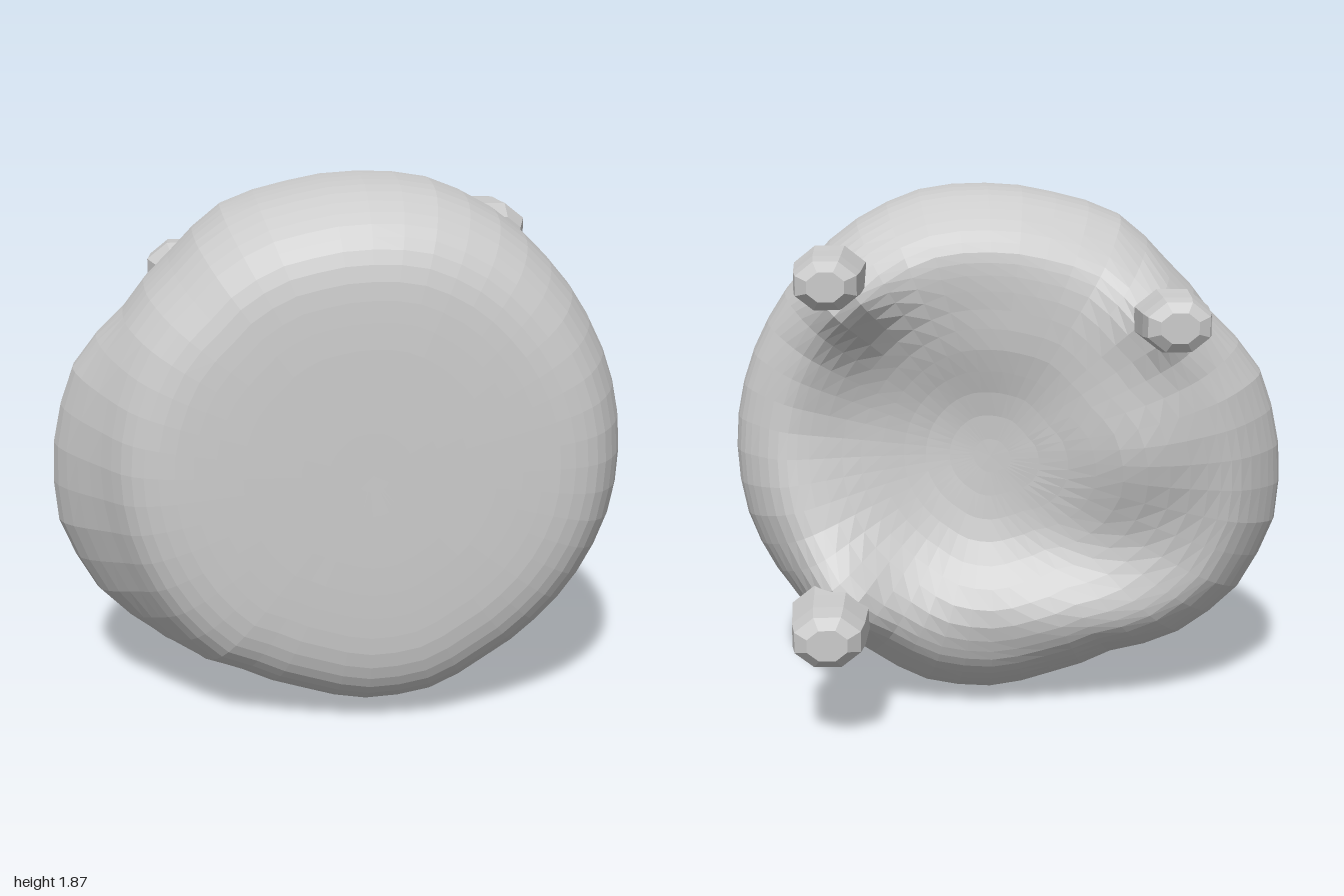
import * as THREE from 'three';
import { mergeVertices } from 'three/addons/utils/BufferGeometryUtils.js';

const CENTRE = { x: 0.08, y: 0.93 };

// outline radius every 15 degrees, starting at +x and turning towards +y
const RADII = [0.92, 0.92, 0.92, 0.925, 0.94, 0.95, 0.94, 0.94, 0.96, 0.935, 0.95, 1.04,
  1.08, 1.11, 1.09, 1.02, 0.92, 0.91, 0.93, 0.93, 0.9, 0.9, 0.91, 0.92];

// [radius fraction, z] from the hollow back round to the flat front
const PROFILE = [[0, -0.18], [0.25, -0.18], [0.5, -0.2], [0.7, -0.25], [0.82, -0.24], [0.93, -0.13],
  [0.99, 0], [1, 0.2], [0.97, 0.4], [0.88, 0.56], [0.75, 0.63], [0.55, 0.65], [0.25, 0.655], [0, 0.655]];

// swellings (or, if negative, hollows) of the back: x, y, width, height, depth
const SWELLINGS = [
  [-0.44, 1.0, 0.27, 0.36, 0.18],
  [0, 1.36, 0.4, 0.2, 0.06],
  [0, 0.4, 0.5, 0.16, 0.1],
  [0.3, 1.0, 0.22, 0.34, -0.05],
  [0.75, 1.06, 0.24, 0.28, -0.07],
  [0.59, 1.53, 0.15, 0.15, 0.18],
  [0.61, 0.45, 0.15, 0.15, 0.12],
  [-0.52, 1.45, 0.14, 0.14, 0.14],
];

function outlineRadius(angle) {
  const t = ((angle / (Math.PI * 2) + 1) % 1) * RADII.length;
  const i = Math.floor(t);
  return THREE.MathUtils.lerp(RADII[i % RADII.length], RADII[(i + 1) % RADII.length], t - i);
}

function createBody(material) {
  const curve = new THREE.SplineCurve(PROFILE.map(([r, z]) => new THREE.Vector2(r, z)));
  const points = curve.getPoints(39);
  points.forEach((p) => { p.x = Math.max(0, p.x); });
  let geometry = new THREE.LatheGeometry(points, 48);
  geometry.rotateX(Math.PI / 2);
  const pos = geometry.attributes.position;
  for (let i = 0; i < pos.count; i++) {
    let z = pos.getZ(i);
    const full = outlineRadius(Math.atan2(pos.getY(i), pos.getX(i)));
    // the side lobe stays behind the round front face
    const radius = THREE.MathUtils.lerp(full, Math.min(full, 0.95), THREE.MathUtils.smoothstep(z, 0.1, 0.52));
    const x = CENTRE.x + pos.getX(i) * radius;
    const y = CENTRE.y + pos.getY(i) * radius;
    const backness = 1 - THREE.MathUtils.smoothstep(z, -0.17, 0.08);
    for (const [sx, sy, w, h, depth] of SWELLINGS) {
      z -= backness * depth * Math.exp(-(((x - sx) / w) ** 2) - ((y - sy) / h) ** 2);
    }
    pos.setXYZ(i, x, y, z);
  }
  geometry.deleteAttribute('normal');
  geometry.deleteAttribute('uv');
  geometry = mergeVertices(geometry, 1e-4);
  geometry.computeVertexNormals();
  const body = new THREE.Mesh(geometry, material);
  body.name = 'roundBody';
  return body;
}

// blunt eight-sided peg pointing backwards, its root sunk in the body
function createPeg(name, x, y, width, height, rootZ, tipZ, material) {
  const length = rootZ - tipZ;
  const shape = [[0, 0], [0.75, 0], [1.1, 0.3], [1.05, 0.5], [1, 0.75], [0.9, 0.92], [0.55, 1], [0, 1]];
  const points = shape.map(([r, t]) => new THREE.Vector2(r, t * length));
  const peg = new THREE.Mesh(new THREE.LatheGeometry(points, 8, Math.PI / 8), material);
  peg.rotation.x = -Math.PI / 2;
  peg.scale.set(width / 2, 1, height / 2);
  peg.position.set(x, y, rootZ);
  peg.name = name;
  return peg;
}

export function createModel() {
  const material = new THREE.MeshStandardMaterial({ color: 0xcccccc, flatShading: true });
  const model = new THREE.Group();
  model.name = 'peggedRoundBody';
  model.add(
    createBody(material),
    createPeg('upperLeftPeg', 0.63, 1.6, 0.24, 0.19, -0.14, -0.65, material),
    createPeg('lowerLeftPeg', 0.65, 0.39, 0.27, 0.21, -0.14, -0.65, material),
    createPeg('rightPeg', -0.53, 1.45, 0.25, 0.2, -0.28, -0.6, material),
  );
  return model;
}
